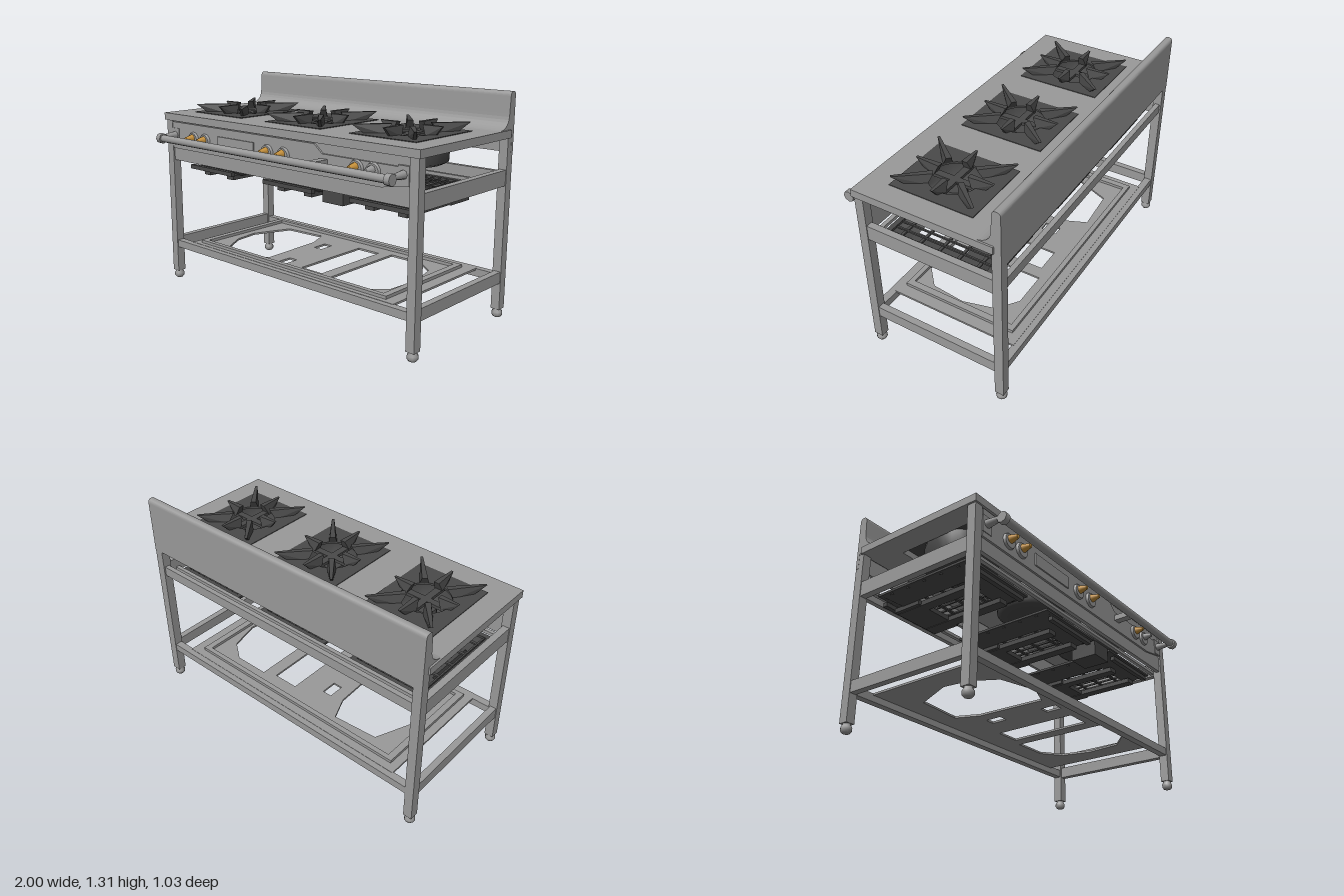
import * as THREE from 'three';
import { ConvexGeometry } from 'three/addons/geometries/ConvexGeometry.js';

const mat = (name, color, side = THREE.FrontSide) => {
  const m = new THREE.MeshStandardMaterial({ color, side });
  m.name = name;
  return m;
};

export function createModel() {
  const steel = mat('steel', 0x9a9a9a);
  const iron = mat('castIron', 0x4a4a4a, THREE.DoubleSide);
  const brass = mat('brass', 0xc8923a);
  const root = new THREE.Group();

  const add = (name, geo, material, parent = root) => {
    const m = new THREE.Mesh(geo, material);
    m.name = name;
    parent.add(m);
    return m;
  };
  // Box given by its limits on each axis
  const box = (name, x0, x1, y0, y1, z0, z1, material = steel, parent = root) => {
    const m = add(name, new THREE.BoxGeometry(x1 - x0, y1 - y0, z1 - z0), material, parent);
    m.position.set((x0 + x1) / 2, (y0 + y1) / 2, (z0 + z1) / 2);
    return m;
  };
  // Closed outline from [x, z] points, laid flat by plate()
  const outline = (pts, Type = THREE.Shape) => {
    const s = new Type();
    s.setFromPoints(pts.map(([x, z]) => new THREE.Vector2(x, -z)));
    s.closePath();
    return s;
  };
  const rect = (x0, x1, z0, z1) => [[x0, z1], [x1, z1], [x1, z0], [x0, z0]];
  const plate = (name, pts, holes, y0, y1, material, parent = root) => {
    const s = outline(pts);
    s.holes = holes;
    const g = new THREE.ExtrudeGeometry(s, { depth: y1 - y0, bevelEnabled: false, curveSegments: 24 });
    g.rotateX(-Math.PI / 2);
    g.translate(0, y0, 0);
    return add(name, g, material, parent);
  };

  const burnerX = [-0.65, 0, 0.65];
  const burnerZ = -0.02;

  // Worktop with three burner openings
  plate('worktop', rect(-1, 1, -0.47, 0.38),
    burnerX.map(x => outline(rect(x - 0.215, x + 0.215, -0.27, 0.23), THREE.Path)), 1.055, 1.1, steel);

  // Backsplash with a coved foot and rounded top
  const bs = new THREE.Shape();
  bs.moveTo(0.37, 1.07);
  bs.lineTo(0.37, 1.1);
  bs.quadraticCurveTo(0.455, 1.11, 0.455, 1.19);
  bs.lineTo(0.46, 1.285);
  bs.quadraticCurveTo(0.462, 1.31, 0.485, 1.31);
  bs.quadraticCurveTo(0.51, 1.31, 0.51, 1.285);
  bs.lineTo(0.51, 0.97);
  bs.lineTo(0.49, 0.97);
  bs.lineTo(0.49, 1.07);
  bs.closePath();
  const bsGeo = new THREE.ExtrudeGeometry(bs, { depth: 1.98, bevelEnabled: false, curveSegments: 8 });
  bsGeo.rotateY(Math.PI / 2);
  bsGeo.translate(-0.99, 0, 0);
  add('backsplash', bsGeo, steel);

  // Legs, feet and side rails
  const footProfile = [[0, 0], [0.022, 0], [0.031, 0.012], [0.031, 0.03], [0.022, 0.045], [0.022, 0.06]]
    .map(([r, y]) => new THREE.Vector2(r, y));
  for (const s of [-1, 1]) {
    for (const [name, z, top] of [['frontLeg', 0.343, 1.056], ['backLeg', -0.482, 1.1]]) {
      const x = s * 0.962;
      box(name, x - 0.027, x + 0.027, 0.05, top, z - 0.027, z + 0.027);
      add('foot', new THREE.LatheGeometry(footProfile, 10), steel).position.set(x, 0, z);
    }
    const x = s * 0.965;
    box('upperSideRail', x - 0.02, x + 0.02, 0.785, 0.875, -0.456, 0.317);
    box('lowerSideRail', x - 0.02, x + 0.02, 0.212, 0.28, -0.456, 0.317);
  }
  box('upperBackRail', -0.936, 0.936, 0.8, 0.86, -0.5, -0.47);
  box('lowerBackRail', -0.936, 0.936, 0.215, 0.262, -0.505, -0.46);
  box('lowerFrontRail', -0.936, 0.936, 0.215, 0.262, 0.32, 0.365);

  // Lower shelf with cut-outs and a raised rim
  const shelfHoles = [
    [[-0.68, -0.08], [-0.58, -0.32], [-0.3, -0.34], [-0.24, -0.2], [-0.22, 0.22], [-0.36, 0.28], [-0.58, 0.22], [-0.66, 0.08]],
    rect(0.06, 0.22, -0.3, 0.22),
    [[0.3, -0.33], [0.52, -0.33], [0.64, -0.24], [0.69, -0.05], [0.67, 0.16], [0.55, 0.27], [0.3, 0.27]],
    rect(-0.16, -0.1, -0.22, -0.12),
    rect(-0.12, -0.06, 0.14, 0.24),
  ];
  plate('lowerShelf', rect(-0.82, 0.82, -0.47, 0.33),
    shelfHoles.map(h => outline(h, THREE.Path)), 0.252, 0.264, steel);
  plate('shelfRim', rect(-0.77, 0.75, -0.42, 0.3),
    [outline(rect(-0.73, 0.71, -0.39, 0.27), THREE.Path)], 0.264, 0.282, steel);

  // Front control panel with a raised fascia
  box('frontPanel', -0.936, 0.936, 0.8, 1.056, 0.335, 0.36);
  const fascia = new THREE.Shape([[-0.93, 0.88], [0.76, 0.88], [0.92, 0.91], [0.92, 1.0], [0.36, 1.0],
    [0.3, 1.048], [-0.93, 1.048]].map(([x, y]) => new THREE.Vector2(x, y)));
  add('fascia', new THREE.ExtrudeGeometry(fascia, { depth: 0.012, bevelEnabled: false }), steel).position.z = 0.36;
  box('namelessBadgePlate', -0.49, -0.17, 0.925, 1.0, 0.37, 0.38);

  // Knobs with brass or steel spindles
  [[-0.72, brass], [-0.61, brass], [-0.06, brass], [0.07, brass], [0.6, brass], [0.71, steel]].forEach(([x, m]) => {
    const g = new THREE.Group();
    g.name = 'knob';
    g.position.set(x, 0.955, 0.372);
    root.add(g);
    const dial = add('knobRing', new THREE.CylinderGeometry(0.042, 0.048, 0.016, 16), steel, g);
    dial.rotation.x = Math.PI / 2;
    dial.position.z = 0.006;
    const stem = add('knobSpindle', new THREE.CylinderGeometry(0.012, 0.026, 0.055, 8), m, g);
    stem.rotation.x = Math.PI / 2;
    stem.position.set(0, 0.01, 0.036);
  });

  // Front towel rail with brackets
  const rail = add('frontRail', new THREE.CylinderGeometry(0.023, 0.023, 1.82, 8), steel);
  rail.rotation.z = Math.PI / 2;
  rail.position.set(0, 0.957, 0.482);
  for (const x of [-0.9, 0.9]) {
    const cap = add('railEnd', new THREE.CylinderGeometry(0.032, 0.032, 0.035, 8), steel);
    cap.rotation.z = Math.PI / 2;
    cap.position.set(x, 0.957, 0.482);
    const arm = add('railBracket', new THREE.CylinderGeometry(0.014, 0.026, 0.11, 8), steel);
    arm.rotation.x = Math.PI / 2;
    arm.position.set(x, 0.965, 0.415);
    box('bracketPlate', x - 0.035, x + 0.035, 0.91, 1.01, 0.36, 0.376);
  }
  box('railPost', 0.35, 0.4, 0.94, 0.975, 0.37, 0.47);

  // Burners: pan plate, bowl, cross and eight fins
  const fin = (a, b, y0 = 1.095, y1 = 1.152) => {
    const dir = new THREE.Vector2(...a).normalize();
    const pts = [];
    // outer and inner ends, top and bottom, widening inward
    for (const [p, k, y, w] of [[a, 1, y1, 0.007], [b, 1, y1, 0.016], [a, 0.77, y0, 0.009], [b, 1.3, y0, 0.026]])
      for (const s of [-1, 1])
        pts.push(new THREE.Vector3(p[0] * k - s * w * dir.y, y, p[1] * k + s * w * dir.x));
    return new ConvexGeometry(pts);
  };
  const bowlProfile = [[0, 0.925], [0.1, 0.922], [0.18, 0.94], [0.208, 0.955], [0.212, 1.06], [0.205, 1.094]]
    .map(([r, y]) => new THREE.Vector2(r, y));
  burnerX.forEach(x => {
    const g = new THREE.Group();
    g.name = 'burner';
    g.position.set(x, 0, burnerZ);
    root.add(g);
    const hole = new THREE.Path();
    hole.absarc(0, 0, 0.14, 0, Math.PI * 2, true);
    plate('panPlate', rect(-0.22, 0.22, -0.255, 0.255), [hole], 1.092, 1.104, iron, g);
    add('bowl', new THREE.LatheGeometry(bowlProfile, 28), iron, g);
    const ring = add('burnerHead', new THREE.CylinderGeometry(0.06, 0.075, 0.1, 16), iron, g);
    ring.position.y = 1.0;
    box('crossBar', -0.14, 0.14, 1.08, 1.098, -0.02, 0.02, iron, g);
    box('crossBar', -0.02, 0.02, 1.08, 1.098, -0.17, 0.17, iron, g);
    for (const s of [-1, 1]) {
      add('grateFin', fin([s * 0.205, 0], [s * 0.085, 0]), iron, g);
      add('grateFin', fin([0, s * 0.24], [0, s * 0.09]), iron, g);
      for (const t of [-1, 1]) add('grateFin', fin([s * 0.21, t * 0.25], [s * 0.07, t * 0.085]), iron, g);
    }
  });

  // Drip trays: tapered open walls and wire racks
  [-0.675, 0, 0.675].forEach(x => {
    const g = new THREE.Group();
    g.name = 'dripTray';
    g.position.set(x, 0, -0.05);
    root.add(g);
    const wall = new THREE.CylinderGeometry(Math.SQRT1_2, 0.48, 0.065, 4, 1, true);
    wall.rotateY(Math.PI / 4);
    wall.scale(0.47, 1, 0.64);
    add('trayWall', wall.toNonIndexed(), iron, g).position.y = 0.757;
    plate('trayRim', rect(-0.245, 0.245, -0.33, 0.33),
      [outline(rect(-0.215, 0.215, -0.3, 0.3), THREE.Path)], 0.783, 0.797, iron, g);
    for (let i = -4; i <= 4; i++)
      box('rackWire', i * 0.05 - 0.005, i * 0.05 + 0.005, 0.782, 0.792, -0.31, 0.31, iron, g);
    for (let i = -2; i <= 2; i++)
      box('rackCrossWire', -0.23, 0.23, 0.776, 0.786, i * 0.12 - 0.008, i * 0.12 + 0.008, iron, g);
    // lower support bars
    for (const s of [-1, 1]) box('trayBar', s * 0.11 - 0.03, s * 0.11 + 0.03, 0.7, 0.728, -0.27, 0.27, iron, g);
    box('trayPan', -0.16, 0.16, 0.703, 0.73, -0.28, -0.1, iron, g);
    // hanging clips
    for (const s of [-1, 1]) box('trayClip', -0.2, 0.2, 0.74, 0.765, s * 0.32 - 0.014, s * 0.32 + 0.014, iron, g);
  });
  box('gasValveBox', 0.27, 0.42, 0.705, 0.8, 0.1, 0.27, iron);
  // Tray support bars across the frame
  for (const z of [0.3, -0.4]) box('trayRunner', -0.95, 0.95, 0.795, 0.815, z - 0.012, z + 0.012);

  return root;
}
